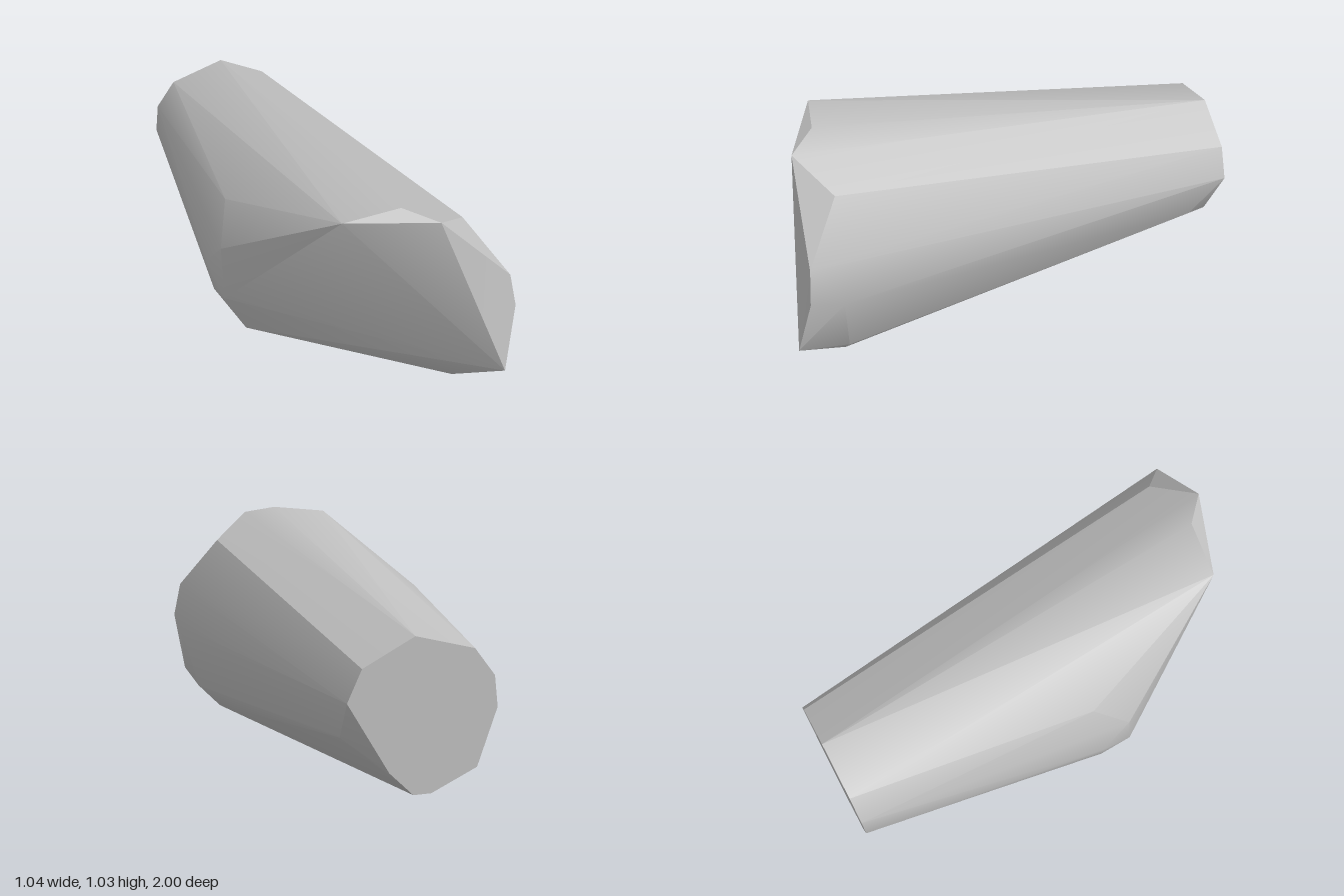
import * as THREE from 'three';
import { ConvexGeometry } from 'three/addons/geometries/ConvexGeometry.js';
import { toCreasedNormals } from 'three/addons/utils/BufferGeometryUtils.js';

const v = ([x, y, z]) => new THREE.Vector3(x, y, z);

export function createModel() {
  const group = new THREE.Group();
  const stone = new THREE.MeshStandardMaterial({ color: 0xbfbfbf });
  stone.name = 'stone grey';

  // Slanted broad end, going round from the top
  const frontRim = [
    [-0.20, 1.01, 0.77], [0.04, 1.035, 0.80], [0.16, 1.0, 0.91], [0.335, 0.89, 0.775],
    [0.49, 0.655, 0.925], [0.52, 0.50, 0.94], [0.52, 0.47, 0.80], [0.46, 0.21, 1.0],
    [0.44, 0.17, 0.78], [0.335, 0.06, 0.78], [-0.06, 0, 0.22], [-0.40, 0.155, 0.23],
    [-0.50, 0.36, 0.24], [-0.50, 0.61, 0.22],
  ];

  // Widest corners of the right side, and a chip near the narrow end
  const sideCorners = [
    [-0.25, 0.045, 0.10], [-0.495, 0.31, 0.10], [-0.52, 0.465, 0.09], [-0.42, 0.755, 0.08],
    [0.24, 0.36, -0.85],
  ];

  // Flat narrow end
  const backRim = [
    [-0.015, 0.785], [0.20, 0.672], [0.26, 0.54], [0.086, 0.245], [-0.015, 0.145],
    [-0.09, 0.145], [-0.283, 0.235], [-0.365, 0.475], [-0.35, 0.605], [-0.263, 0.72],
  ].map(([x, y]) => [x, y, -1]);

  const hull = new ConvexGeometry([...frontRim, ...sideCorners, ...backRim].map(v));
  const body = new THREE.Mesh(toCreasedNormals(hull, THREE.MathUtils.degToRad(30)), stone);
  body.name = 'taperedStone';
  group.add(body);
  return group;
}
